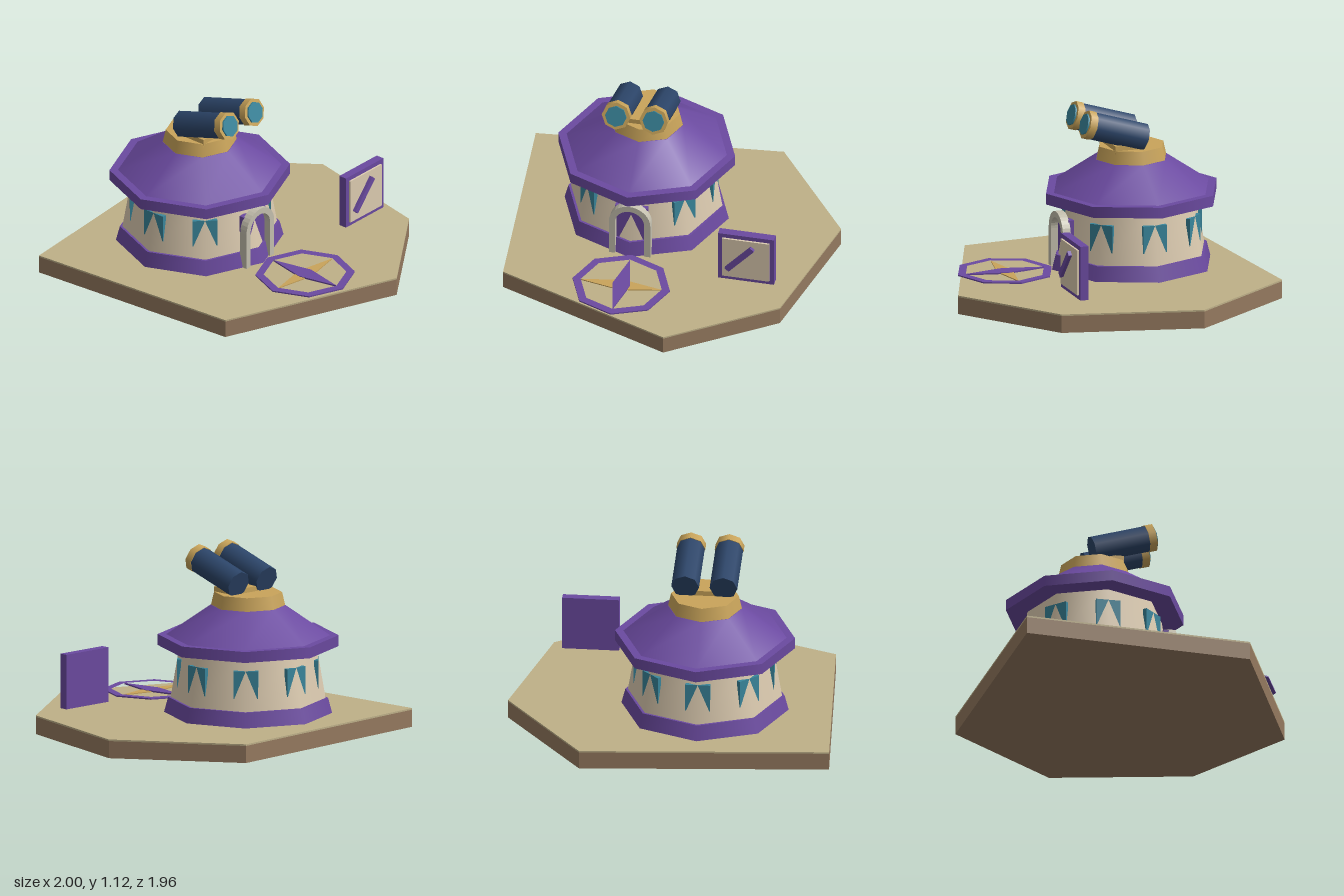
import * as THREE from 'three';

const mat = (color, extra = {}) => Object.assign(new THREE.MeshStandardMaterial(extra), { color: new THREE.Color(color) });
const M = {
  purple: mat(0x6b4aa0), cream: mat(0xdccbb0), gold: mat(0xc9a45a), navy: mat(0x2c4569),
  teal: mat(0x3a869c), stone: mat(0xc4bfae), earth: mat(0x94795f), sand: mat(0xbeb088),
};

function add(parent, name, geo, material, x = 0, y = 0, z = 0) {
  const mesh = new THREE.Mesh(geo, material);
  mesh.name = name;
  mesh.position.set(x, y, z);
  parent.add(mesh);
  return mesh;
}

const box = (w, h, d) => new THREE.BoxGeometry(w, h, d);

// Eight-sided frustum standing between two heights, corners on the axes
function frustum(parent, name, r0, r1, y0, y1, material) {
  return add(parent, name, new THREE.CylinderGeometry(r1, r0, y1 - y0, 8), material, 0, (y0 + y1) / 2, 0);
}

// Flat plate from a plan outline of [x, z] points, extruded upwards
function plate(points, height, hole) {
  const flip = (list) => list.map(([x, z]) => new THREE.Vector2(x, -z));
  const shape = new THREE.Shape(flip(points));
  if (hole) shape.holes.push(new THREE.Path(flip(hole)));
  return new THREE.ExtrudeGeometry(shape, { depth: height, bevelEnabled: false }).rotateX(-Math.PI / 2);
}

const octagon = (r) => Array.from({ length: 8 }, (_, i) => [r * Math.cos(i * Math.PI / 4), r * Math.sin(i * Math.PI / 4)]);
const diamond = (a, b) => [[a, 0], [0, b], [-a, 0], [0, -b]];

function buildGround(root) {
  const outline = [[-1, -0.845], [0.5, -0.985], [1, -0.31], [0.81, 0.537], [0.187, 0.975], [-0.895, 0.545]];
  add(root, 'groundSlab', plate(outline, 0.105), M.earth);
  add(root, 'groundTop', plate(outline, 0.01), M.sand, 0, 0.105, 0);
}

function buildTower(root) {
  const tower = new THREE.Group();
  tower.name = 'tower';
  tower.position.set(-0.188, 0, -0.267);
  root.add(tower);

  frustum(tower, 'footBand', 0.507, 0.482, 0.112, 0.207, M.purple);
  frustum(tower, 'wall', 0.468, 0.41, 0.2, 0.54, M.cream);
  frustum(tower, 'eaves', 0.545, 0.545, 0.525, 0.592, M.purple);
  frustum(tower, 'roof', 0.497, 0.226, 0.59, 0.775, M.purple);
  frustum(tower, 'neck', 0.224, 0.205, 0.773, 0.855, M.gold);

  // Window panels on every wall corner except the doorway
  for (let i = 1; i < 8; i++) {
    const a = i * Math.PI / 4;
    const r = 0.413;
    const panel = add(tower, 'window', box(0.15, 0.17, 0.025), M.teal, r * Math.sin(a), 0.365, r * Math.cos(a));
    panel.rotation.y = a;
  }

  // Door with a stone arch around it
  add(tower, 'door', box(0.2, 0.325, 0.035), M.purple, 0, 0.275, 0.419);
  const outer = 0.128, inner = 0.09, spring = 0.235;
  const arch = new THREE.Shape();
  arch.moveTo(outer, 0);
  arch.lineTo(outer, spring);
  arch.absarc(0, spring, outer, 0, Math.PI, false);
  arch.lineTo(-outer, 0);
  arch.lineTo(-inner, 0);
  arch.lineTo(-inner, spring);
  arch.absarc(0, spring, inner, Math.PI, 0, true);
  arch.lineTo(inner, 0);
  const archGeo = new THREE.ExtrudeGeometry(arch, { depth: 0.05, bevelEnabled: false, curveSegments: 8 });
  add(tower, 'doorArch', archGeo, M.stone, 0, 0.112, 0.432);

  // Twin viewing tubes on a mount, tilted upwards to the front
  add(tower, 'tubeMount', box(0.28, 0.05, 0.17), M.gold, 0, 0.86, 0.067);
  for (const side of [-1, 1]) {
    const tube = new THREE.Group();
    tube.name = side > 0 ? 'leftTube' : 'rightTube';
    tube.position.set(side * 0.116, 0.92, -0.04);
    tube.rotation.x = Math.PI / 2 - THREE.MathUtils.degToRad(17);
    tower.add(tube);
    frustum(tube, 'barrel', 0.084, 0.084, 0, 0.35, M.navy);
    frustum(tube, 'rim', 0.088, 0.088, 0.345, 0.392, M.gold);
    frustum(tube, 'lens', 0.066, 0.066, 0.38, 0.402, M.teal);
  }
}

function buildCompass(root) {
  const compass = new THREE.Group();
  compass.name = 'compass';
  compass.position.set(-0.165, 0.136, 0.55);
  root.add(compass);
  add(compass, 'compassRing', plate(octagon(0.3), 0.008, octagon(0.25)), M.purple);
  add(compass, 'compassCrossPoint', plate(diamond(0.25, 0.05), 0.006), M.gold);
  add(compass, 'compassLongPoint', plate(diamond(0.055, 0.25), 0.009), M.purple);
}

function buildSign(root) {
  const sign = new THREE.Group();
  sign.name = 'sign';
  sign.position.set(0.569, 0.338, 0);
  root.add(sign);
  add(sign, 'signBoard', box(0.345, 0.335, 0.052), M.purple, 0, 0, 0.366);
  add(sign, 'signPanel', box(0.29, 0.28, 0.014), M.cream, 0, 0, 0.397);
  const bar = add(sign, 'signBar', box(0.235, 0.033, 0.024), M.purple, -0.034, 0.01, 0.414);
  bar.rotation.z = THREE.MathUtils.degToRad(48);
}

export function createModel() {
  const root = new THREE.Group();
  root.name = 'observatory';
  buildGround(root);
  buildTower(root);
  buildCompass(root);
  buildSign(root);
  return root;
}
